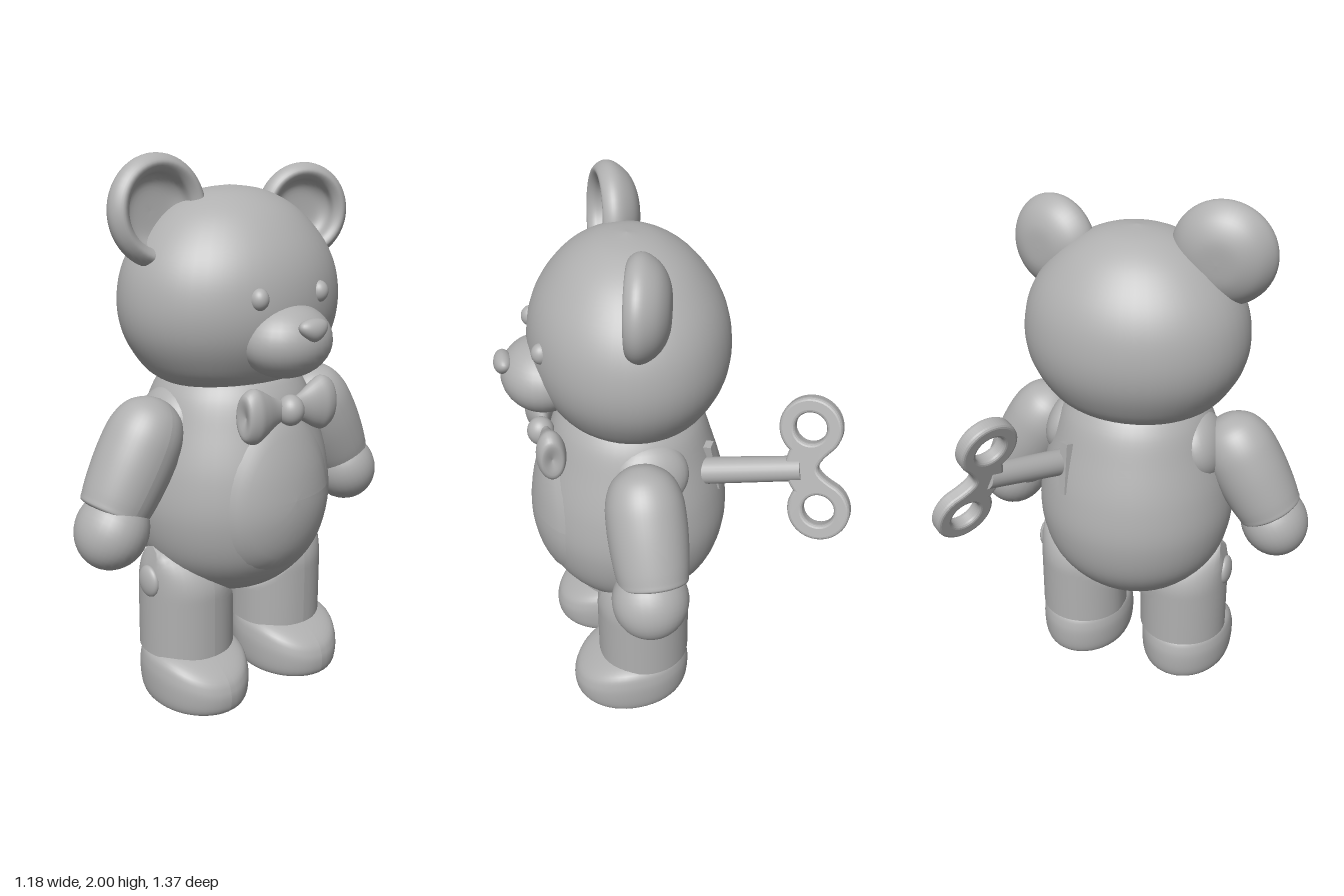
import * as THREE from 'three';

const grey = new THREE.MeshStandardMaterial({ color: 0xb0b0b0 });
grey.name = 'grey';

const V = (x, y, z) => new THREE.Vector3(x, y, z);

function add(parent, name, geometry, x = 0, y = 0, z = 0) {
  const mesh = new THREE.Mesh(geometry, grey);
  mesh.name = name;
  mesh.position.set(x, y, z);
  parent.add(mesh);
  return mesh;
}

// Smooth profile of [radius, height] pairs, listed bottom to top
function profile(pairs, steps = 40) {
  return new THREE.SplineCurve(pairs.map(p => new THREE.Vector2(...p)))
    .getPoints(steps).map(p => new THREE.Vector2(Math.max(0, p.x), p.y));
}
const lathe = (pairs, steps, sides = 48) => new THREE.LatheGeometry(profile(pairs, steps), sides);
const ball = (rx, ry, rz) => new THREE.SphereGeometry(1, 32, 20).scale(rx, ry, rz);

// Move every vertex by a rule
function reshape(geometry, rule) {
  const p = geometry.attributes.position, v = V(0, 0, 0);
  for (let i = 0; i < p.count; i++) {
    rule(v.fromBufferAttribute(p, i));
    p.setXYZ(i, v.x, v.y, v.z);
  }
  geometry.computeVertexNormals();
  return geometry;
}

const bodyPairs = [[0, 0.385], [0.12, 0.4], [0.24, 0.46], [0.34, 0.58], [0.382, 0.74],
  [0.37, 0.9], [0.325, 1.06], [0.275, 1.19], [0.2, 1.25], [0, 1.27]];
const bodyLine = profile(bodyPairs, 60);
const bodyDepth = 0.96, mid = 0.12;

// Front surface of the body at a given x and y
function bodyFront(x, y) {
  const i = Math.max(1, bodyLine.findIndex(p => p.y >= y));
  const a = bodyLine[i - 1], b = bodyLine[i];
  const r = a.x + (b.x - a.x) * (y - a.y) / (b.y - a.y);
  return mid + bodyDepth * Math.sqrt(Math.max(0, r * r - x * x));
}

function addTorso(bear) {
  add(bear, 'body', lathe(bodyPairs, 60).scale(1, 1, bodyDepth), 0, 0, mid);
  // Raised tummy patch that follows the body
  add(bear, 'tummyPatch', reshape(new THREE.RingGeometry(0, 1, 48, 8), v => {
    const r = v.length();
    v.x *= 0.245 * (1 - 0.12 * v.y);
    v.y = 0.82 + 0.3 * v.y;
    v.z = bodyFront(v.x, v.y) - 0.006 + 0.022 * Math.sqrt(Math.max(0, 1 - r ** 4));
  }));
}

function addHead(bear) {
  add(bear, 'head', lathe([[0, 1.19], [0.2, 1.195], [0.3, 1.235], [0.365, 1.31], [0.408, 1.4],
    [0.42, 1.5], [0.4, 1.61], [0.345, 1.71], [0.25, 1.805], [0.13, 1.865], [0, 1.885]], 50)
    .scale(1, 1, 0.85), 0, 0, 0.115);
  add(bear, 'muzzle', ball(0.17, 0.13, 0.15), 0, 1.385, 0.425);
  add(bear, 'nose', reshape(ball(0.055, 0.04, 0.035), v => { v.x *= 1 + 10 * v.y; }), 0, 1.44, 0.56);
  for (const s of [-1, 1]) {
    add(bear, 'eye', ball(0.033, 0.038, 0.035), s * 0.133, 1.54, 0.44);
  }
  // Cupped ears with a round rim, one turned slightly inward
  const ear = lathe([[0, -0.085], [0.08, -0.08], [0.145, -0.05], [0.185, 0.0], [0.188, 0.04],
    [0.16, 0.07], [0.13, 0.05], [0.118, 0.01], [0.08, -0.015], [0, -0.02]], 45)
    .rotateX(Math.PI / 2);
  add(bear, 'rightEar', ear, -0.312, 1.81, 0.1).rotation.x = -0.08;
  const left = add(bear, 'leftEar', ear, 0.33, 1.775, 0.12);
  left.scale.setScalar(0.92);
  left.rotation.y = -0.3;
}

function addBow(bear) {
  const bow = new THREE.Group();
  bow.name = 'bowTie';
  bow.position.set(0.007, 1.14, 0.435);
  for (const s of [-1, 1]) {
    const loop = lathe([[0.03, 0], [0.05, 0.06], [0.085, 0.12], [0.098, 0.16], [0.07, 0.198], [0, 0.185]], 24, 32)
      .rotateZ(-s * Math.PI / 2).scale(1, 1, 0.55);
    add(bow, 'bowLoop', loop);
  }
  add(bow, 'bowKnot', ball(0.048, 0.055, 0.05), 0, 0, 0.015);
  bear.add(bow);
}

function addArm(bear, s) {
  const arm = new THREE.Group();
  arm.name = s > 0 ? 'leftArm' : 'rightArm';
  // Sleeve, flattened on the side towards the body
  const sleeve = reshape(lathe([[0, -0.03], [0.11, -0.02], [0.127, 0.01], [0.138, 0.1], [0.142, 0.2],
    [0.135, 0.29], [0.105, 0.36], [0.05, 0.4], [0, 0.41]], 36), v => {
    const inner = 0.125 - 0.2 * Math.max(0, v.y - 0.1);
    v.x = -s * Math.min(-s * v.x, inner);
  });
  const upper = add(arm, 'sleeve', sleeve, s * 0.53, 0.815, 0.15);
  upper.rotation.z = s * 0.51;
  const paw = add(arm, 'paw', ball(0.128, 0.142, 0.137), s * 0.553, 0.745, 0.165);
  paw.rotation.z = s * 0.51;
  const button = add(arm, 'shoulderButton', ball(0.03, 0.055, 0.055), s * 0.405, 1.125, 0.138);
  button.rotation.z = s * 0.75;
  add(arm, 'shoulderSocket', ball(0.08, 0.13, 0.14), s * 0.27, 1.07, 0.1).rotation.z = s * 0.3;
  bear.add(arm);
}

function addLeg(bear, s) {
  const leg = new THREE.Group();
  leg.name = s > 0 ? 'leftLeg' : 'rightLeg';
  leg.position.x = s > 0 ? 0.027 : 0;
  // Thigh with an arched top, cut away along the body
  const thigh = new THREE.CylinderGeometry(0.178, 0.178, 0.42, 40, 24, true).translate(s * 0.207, 0.405, 0.125);
  add(leg, 'thigh', reshape(thigh, v => {
    const t = Math.max(0, (v.y - 0.43) / 0.185);
    v.z = 0.125 + (v.z - 0.125) * Math.sqrt(Math.max(0, 1 - t * t));
    const outer = 0.385 - 0.03 * t * t;
    const inner = 0.033 + Math.max(0, v.y - 0.35) * 0.95;
    v.x = s * Math.min(outer, Math.max(inner, s * v.x));
  }));
  add(leg, 'hipButton', ball(0.025, 0.06, 0.055), s * 0.378, 0.485, 0.13);
  // Foot with a flat sole and a sloping toe
  const foot = lathe([[0, 0], [0.1, 0], [0.16, 0.004], [0.18, 0.03], [0.187, 0.09],
    [0.184, 0.15], [0.165, 0.195], [0.1, 0.215], [0, 0.218]], 36);
  add(leg, 'foot', reshape(foot, v => {
    v.z *= 1.24;
    const toe = Math.max(0, v.z / 0.23);
    v.y *= 1 - 0.36 * toe * toe;
    v.x *= 1 + 0.04 * toe;
  }), s * 0.213, 0, 0.178);
  bear.add(leg);
}

function addKey(bear) {
  const key = new THREE.Group();
  key.name = 'windUpKey';
  // Shaft runs along y, the two finger rings lie along x
  const along = V(0.195, 0.0925, -0.37).normalize();
  const normal = V(-0.125, 0.285, 0.03).cross(along).normalize();
  const across = along.clone().cross(normal);
  key.quaternion.setFromRotationMatrix(new THREE.Matrix4().makeBasis(across, along, normal));
  key.position.set(0.398, 1.1, -0.47);
  add(key, 'keyShaft', new THREE.CylinderGeometry(0.045, 0.05, 0.36, 24), 0, -0.23, 0);

  // Outline with two round lobes and a narrow waist
  const outline = new THREE.Shape();
  const R = 0.1, c = 0.152, open = 0.75;
  outline.absarc(c, 0, R, -Math.PI + open, Math.PI - open, false);
  outline.quadraticCurveTo(0.03, 0.0, 0, 0.0);
  outline.quadraticCurveTo(-0.03, 0.0, -c + R * Math.cos(open), R * Math.sin(open));
  outline.absarc(-c, 0, R, open, 2 * Math.PI - open, false);
  outline.quadraticCurveTo(-0.04, -0.09, 0, -0.1);
  outline.quadraticCurveTo(0.04, -0.09, c - R * Math.cos(open), -R * Math.sin(open));
  for (const s of [-1, 1]) {
    const hole = new THREE.Path();
    hole.absarc(s * c, 0, 0.068, 0, Math.PI * 2, true);
    outline.holes.push(hole);
  }
  const handle = new THREE.ExtrudeGeometry(outline, {
    depth: 0.03, bevelThickness: 0.014, bevelSize: 0.012, bevelSegments: 3, curveSegments: 28,
  }).translate(0, 0, -0.015);
  add(key, 'keyHandle', handle);
  bear.add(key);

  // Upright keyhole slot where the shaft enters
  const slot = add(bear, 'keyhole', new THREE.BoxGeometry(0.04, 0.2, 0.03), 0.185, 1.01, -0.155);
  slot.rotation.set(0.2, -0.55, 0);
}

export function createModel() {
  const model = new THREE.Group();
  model.name = 'windUpTeddyBear';
  const bear = new THREE.Group();
  bear.name = 'bear';
  bear.rotation.y = Math.PI / 2;
  addTorso(bear);
  addHead(bear);
  addBow(bear);
  for (const s of [-1, 1]) {
    addArm(bear, s);
    addLeg(bear, s);
  }
  addKey(bear);
  model.add(bear);
  return model;
}
